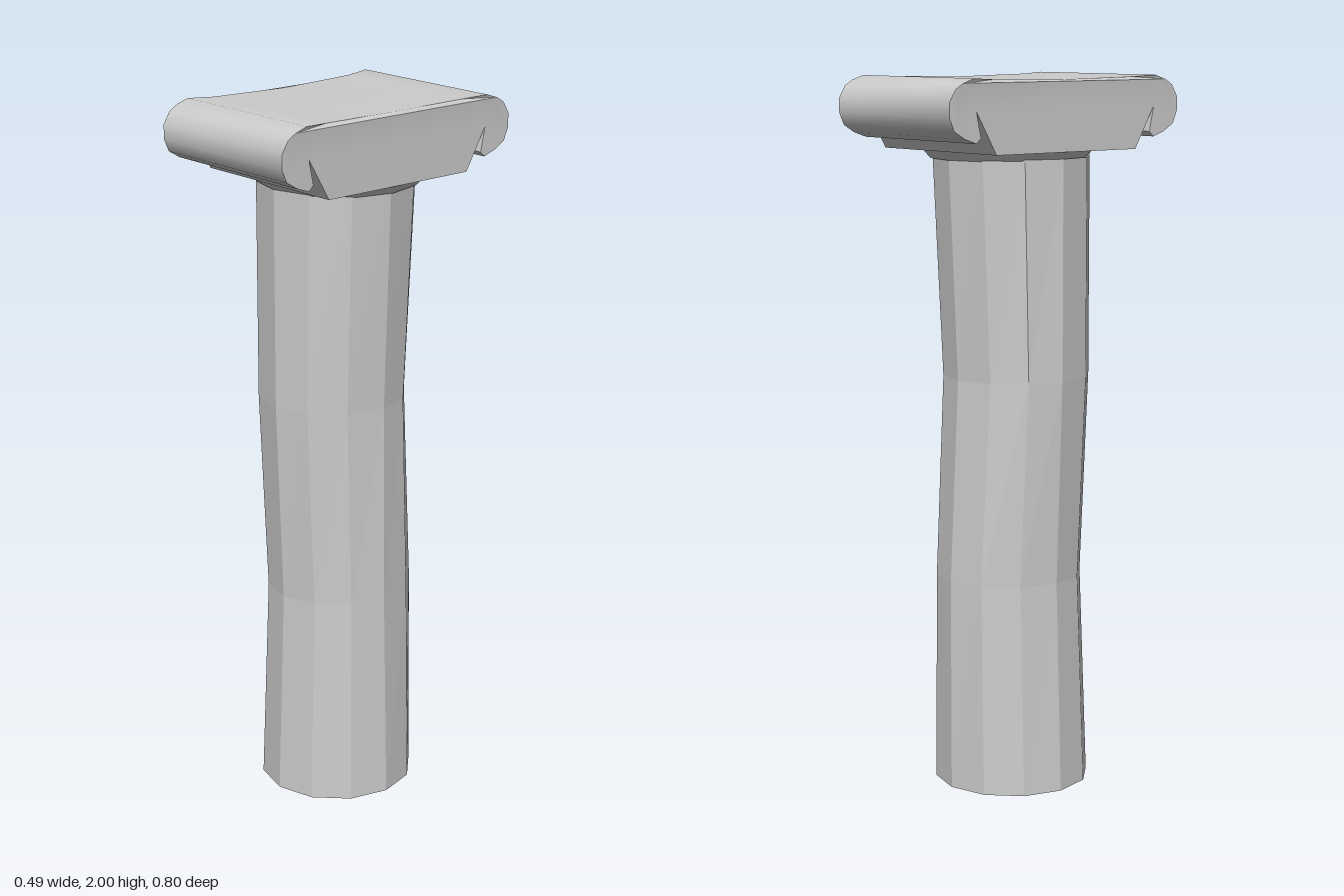
import * as THREE from 'three';
import { toCreasedNormals } from 'three/addons/utils/BufferGeometryUtils.js';

const SIDES = 12;

function part(name, geometry, options = {}) {
  const mesh = new THREE.Mesh(geometry, new THREE.MeshStandardMaterial({ color: 0xcccccc, ...options }));
  mesh.name = name;
  return mesh;
}

// Worn twelve-sided shaft, open at the foot
function shaftGeometry() {
  const levels = [0, 0.6, 1.17, 1.78];
  const geometry = new THREE.CylinderGeometry(0.22, 0.22, 1.78, SIDES, 3, true);
  geometry.translate(0, 0.89, 0);
  const pos = geometry.attributes.position;
  for (let i = 0; i < pos.count; i++) {
    const level = Math.round(pos.getY(i) / (1.78 / 3));
    let x = pos.getX(i), z = pos.getZ(i);
    // lower dents press in the front and sides, upper dents the back and left
    if (level === 1) {
      x *= x < 0 ? 0.9 : 0.93;
      if (z > 0) z *= 0.9;
    } else if (level === 2) {
      if (x > 0) x *= 0.9;
      if (z < 0) z *= 0.87;
    }
    pos.setXYZ(i, x - 0.005, levels[level], z + 0.005);
  }
  return geometry;
}

// Flared ring between shaft and capital
function collarGeometry() {
  const profile = [[0.218, 1.775], [0.225, 1.782], [0.242, 1.802], [0.236, 1.82], [0.2, 1.822]];
  return new THREE.LatheGeometry(profile.map(([r, y]) => new THREE.Vector2(r, y)), SIDES);
}

// Scrolled capital: mirrored z-y profile swept along x, with worn top side edges
function capitalGeometry() {
  const half = [
    [0.245, 1.8], [0.312, 1.915], [0.297, 1.846], [0.312, 1.832], [0.35, 1.845], [0.385, 1.866],
    [0.4, 1.9], [0.4, 1.94], [0.38, 1.973], [0.355, 1.988], [0.318, 2], [0.24, 1.996],
  ];
  const mirrored = half.map(([z, y]) => [-z, y]).reverse();
  const outline = [...half, [0, 1.992], ...mirrored];
  const shape = new THREE.Shape(outline.map(([z, y]) => new THREE.Vector2(z, y)));
  const geometry = new THREE.ExtrudeGeometry(shape, { depth: 0.49, bevelEnabled: false });
  geometry.rotateY(-Math.PI / 2);
  geometry.translate(0.242, 0, 0);
  const pos = geometry.attributes.position;
  for (let i = 0; i < pos.count; i++) {
    const z = pos.getZ(i);
    if (pos.getY(i) > 1.985 && Math.abs(z) < 0.3) {
      const dent = 0.024 - 0.16 * z * z;
      pos.setX(i, pos.getX(i) - Math.sign(pos.getX(i)) * dent);
    }
  }
  return toCreasedNormals(geometry, 0.75);
}

export function createModel() {
  const model = new THREE.Group();
  model.name = 'column';
  model.add(
    part('shaft', shaftGeometry(), { flatShading: true, side: THREE.DoubleSide }),
    part('collar', collarGeometry(), { flatShading: true, side: THREE.DoubleSide }),
    part('capital', capitalGeometry()),
  );
  return model;
}
